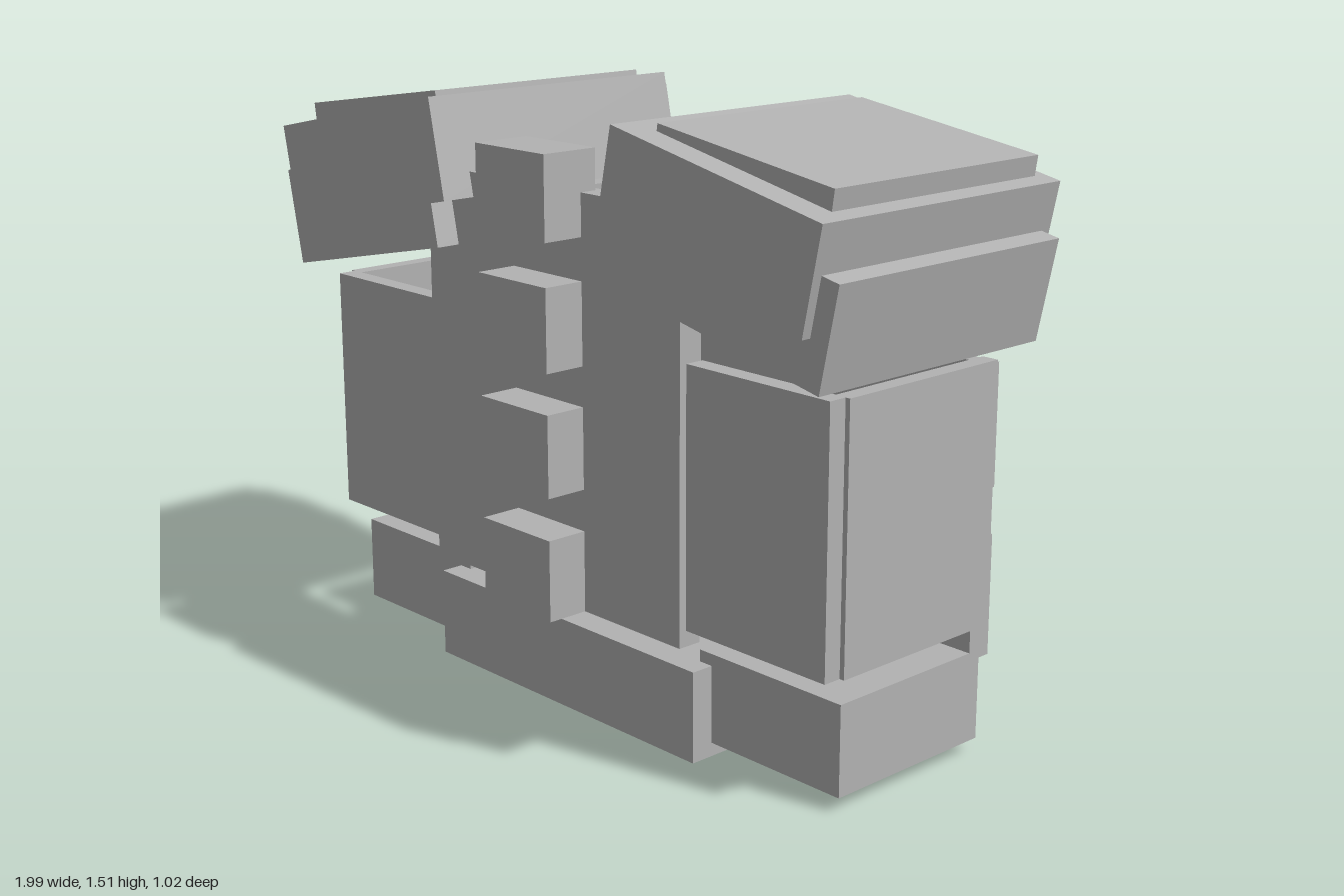
import * as THREE from 'three';

export function createModel() {
  const model = new THREE.Group();
  model.name = 'armouredJacket';
  const grey = new THREE.MeshStandardMaterial({ color: 0xb2b2b2, flatShading: true });
  grey.name = 'plain grey';

  // Box from its limits on each axis
  function box(name, x0, x1, y0, y1, z0, z1, parent = model) {
    const mesh = new THREE.Mesh(new THREE.BoxGeometry(x1 - x0, y1 - y0, z1 - z0), grey);
    mesh.name = name;
    mesh.position.set((x0 + x1) / 2, (y0 + y1) / 2, (z0 + z1) / 2);
    parent.add(mesh);
    return mesh;
  }
  // The same box on both sides
  function pair(name, x0, x1, y0, y1, z0, z1) {
    box(name + 'Left', x0, x1, y0, y1, z0, z1);
    box(name + 'Right', -x1, -x0, y0, y1, z0, z1);
  }

  // Belt and hips
  box('belt', -0.48, 0.48, 0, 0.23, -0.2, 0.38);
  pair('hip', 0.44, 0.89, 0.035, 0.26, -0.16, 0.32);
  for (const x of [0.56, 0.67, 0.78]) pair('hipPouch', x - 0.04, x + 0.04, 0.075, 0.22, -0.225, -0.16);

  // Chest and its row of blocks
  box('chestPlate', -0.46, 0.46, 0.29, 1.32, 0.34, 0.405);
  for (const y of [0.29, 0.6, 0.905, 1.215]) box('chestBlock', -0.125, 0.125, y, y + 0.205, 0.36, 0.515);
  pair('shoulderStrap', 0.26, 0.46, 1.14, 1.25, -0.19, 0.34);

  // Hollow sides
  pair('sideFront', 0.46, 0.9, 0.33, 0.97, 0.335, 0.385);
  pair('sidePanel', 0.87, 0.913, 0.33, 0.97, -0.158, 0.337);
  pair('sideBackUpper', 0.44, 0.89, 0.655, 0.955, -0.193, -0.155);
  pair('sideBackLower', 0.445, 0.89, 0.24, 0.54, -0.193, -0.125);

  // Back plates and ribs
  box('backTop', -0.46, 0.46, 1.05, 1.25, -0.27, -0.185);
  box('backUpper', -0.45, 0.45, 0.745, 1.05, -0.25, -0.185);
  box('backLower', -0.44, 0.44, 0.46, 0.735, -0.245, -0.172);
  for (const [y0, y1, z1] of [[0.31, 0.43, -0.19], [0.485, 0.61, -0.24], [0.66, 0.78, -0.24]])
    box('backRib', -0.39, 0.39, y0, y1, -0.266, z1);

  // Backpack with a stepped spire
  box('backpack', -0.2, 0.2, 0.755, 1.14, -0.362, -0.25);
  box('backpackStud', -0.008, 0.008, 1.14, 1.152, -0.352, -0.336);
  const tiers = [
    [0.79, 0.945, 0.093], [0.945, 1.0, 0.08], [1.0, 1.055, 0.068], [1.055, 1.1, 0.055],
    [1.1, 1.143, 0.04], [1.143, 1.175, 0.025], [1.175, 1.205, 0.01],
  ];
  for (const [y0, y1, r] of tiers)
    box('spireTier', -r, r, y0, y1, -0.408 - r, Math.min(-0.408 + r, -0.36));
  box('spireRidge', -0.028, 0.028, 0.815, 1.055, -0.51, -0.46);

  // Tilted shoulder armour, each layer turned about its own centre
  for (const side of [1, -1]) {
    const shoulder = new THREE.Group();
    shoulder.name = side > 0 ? 'shoulderLeft' : 'shoulderRight';
    model.add(shoulder);
    const layer = (name, x, y, tilt) => {
      const g = new THREE.Group();
      g.name = name;
      g.position.set(side * x, y, 0);
      g.rotation.z = -side * tilt;
      shoulder.add(g);
      return g;
    };
    const upper = layer('upperGuard', 0.625, 1.315, 0.208);
    box('upperBlock', -0.327, 0.327, -0.127, 0.127, -0.282, 0.495, upper);
    box('upperBackPlate', -0.3, 0.3, -0.1, 0.1, -0.308, -0.28, upper);
    box('upperBackTab', -0.047, 0.047, -0.07, 0.07, -0.324, -0.3, upper);

    const lower = layer('lowerGuard', 0.67, 1.19, 0.208);
    box('lowerBlock', -0.308, 0.308, -0.125, 0.125, -0.252, 0.47, lower);
    box('lowerBackPlate', -0.275, 0.275, -0.095, 0.095, -0.277, -0.25, lower);
    box('lowerBackTab', -0.045, 0.045, -0.065, 0.03, -0.294, -0.27, lower);

    const cap = layer('topCap', 0.664, 1.44, 0.15);
    box('capPlate', -0.268, 0.268, -0.03, 0.03, -0.247, 0.42, cap);
  }
  return model;
}
